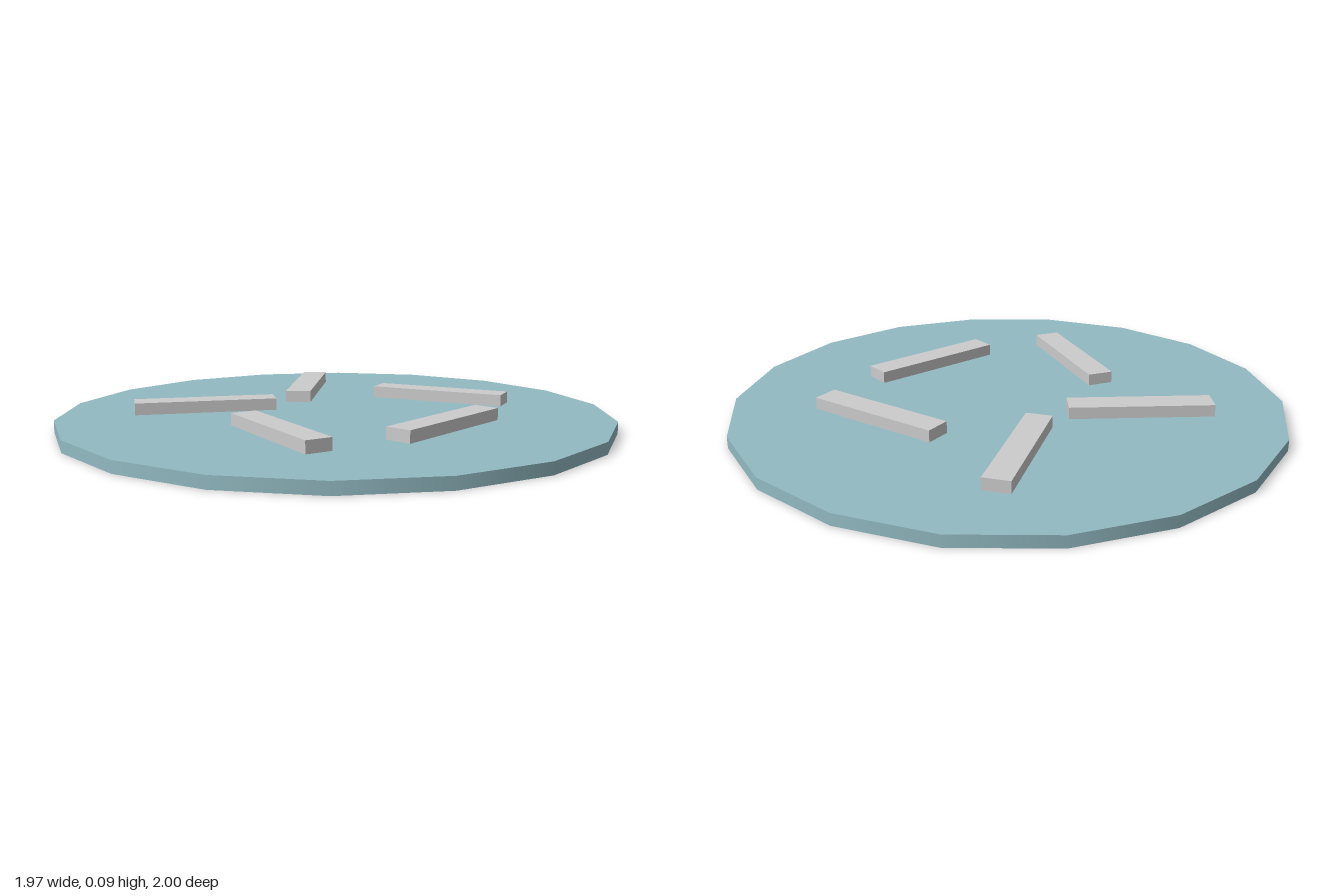
import * as THREE from 'three';

export function createModel() {
  const group = new THREE.Group();
  const baseHeight = 0.042, barHeight = 0.043;

  // Thin eighteen-sided base disc
  const disc = new THREE.Mesh(
    new THREE.CylinderGeometry(1, 1, baseHeight, 18),
    new THREE.MeshStandardMaterial({ color: 0x92bac2 })
  );
  disc.name = 'baseDisc';
  disc.position.y = baseHeight / 2;
  group.add(disc);

  // Five loose bars arranged in a ring: x, z, turn in degrees
  const barGeometry = new THREE.BoxGeometry(0.515, barHeight, 0.095);
  const barMaterial = new THREE.MeshStandardMaterial({ color: 0xcccccc });
  const bars = [
    [0.482, 0, 90],
    [0.135, -0.467, 16.3],
    [-0.397, -0.28, -55.3],
    [-0.388, 0.285, 53.4],
    [0.151, 0.455, -18],
  ];
  bars.forEach(([x, z, turn], i) => {
    const bar = new THREE.Mesh(barGeometry, barMaterial);
    bar.name = `bar${i + 1}`;
    bar.position.set(x, baseHeight + barHeight / 2, z);
    bar.rotation.y = THREE.MathUtils.degToRad(turn);
    group.add(bar);
  });

  return group;
}
